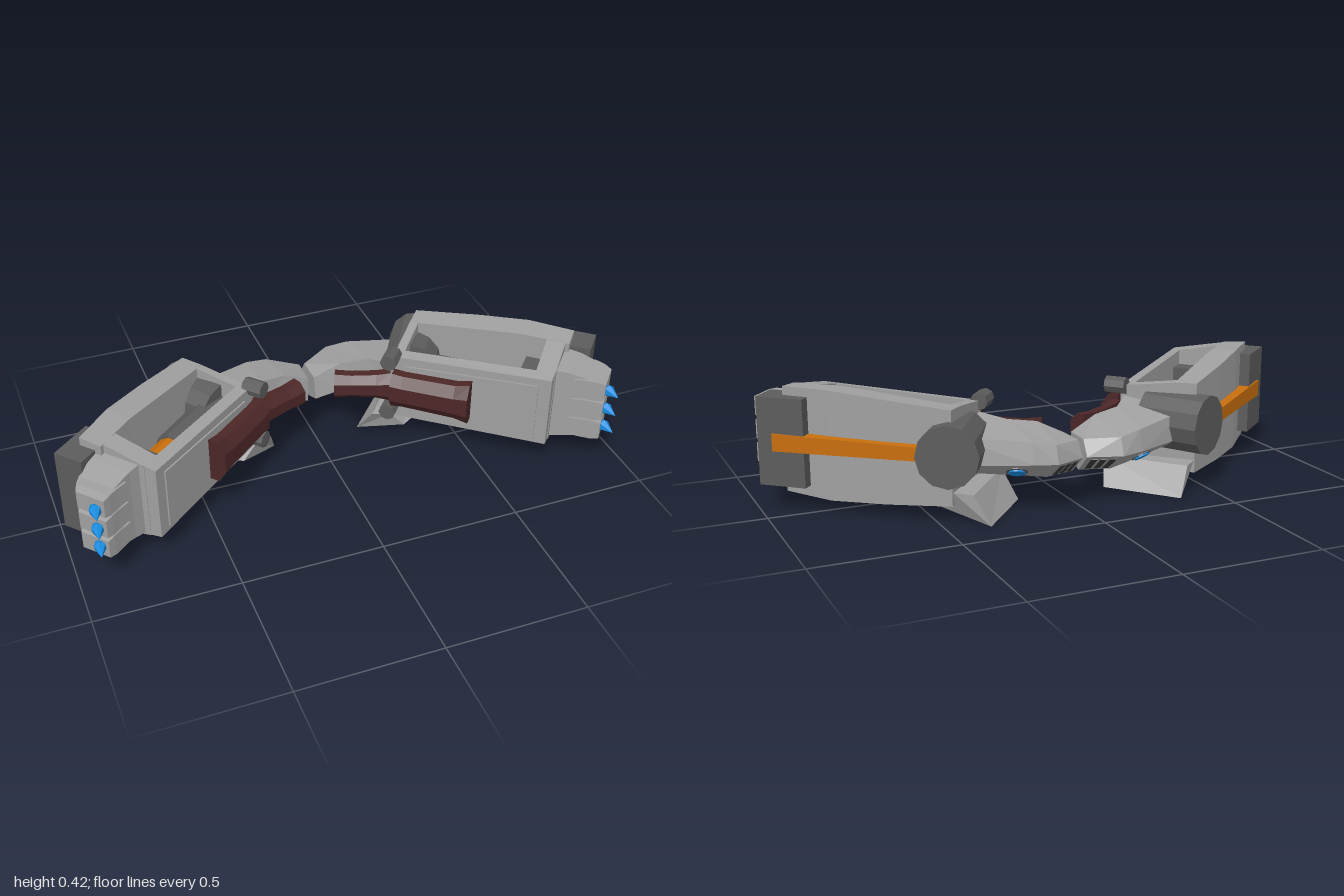
import * as THREE from 'three';

const mat = (name, color) => {
  const m = new THREE.MeshStandardMaterial({ color, flatShading: true });
  m.name = name;
  return m;
};
const V = (x, y, z) => new THREE.Vector3(x, y, z);
// Forearm frame: u runs to the hand, v runs outward and back
const P = (u, v, y) => V(0.757 * u + 0.654 * v, y, 0.654 * u - 0.757 * v);

// Closed solid through matching cross-sections
function loft(sections) {
  const n = sections[0].length, tris = [];
  for (let s = 0; s < sections.length - 1; s++) {
    for (let i = 0; i < n; i++) {
      const j = (i + 1) % n, a = sections[s], b = sections[s + 1];
      tris.push([a[i], a[j], b[j]], [a[i], b[j], b[i]]);
    }
  }
  const f = sections[0], l = sections[sections.length - 1];
  for (let i = 1; i < n - 1; i++) tris.push([f[0], f[i + 1], f[i]], [l[0], l[i], l[i + 1]]);
  // Turn the faces outward
  let volume = 0;
  for (const [a, b, c] of tris) volume += a.dot(b.clone().cross(c));
  const pts = tris.flatMap(([a, b, c]) => (volume < 0 ? [a, c, b] : [a, b, c]));
  const g = new THREE.BufferGeometry().setFromPoints(pts);
  g.computeVertexNormals();
  return g;
}

// Rectangle across v at one u; heights may differ at the two sides
const rect = (u, v0, v1, lo0, hi0, lo1 = lo0, hi1 = hi0) =>
  [P(u, v0, lo0), P(u, v1, lo1), P(u, v1, hi1), P(u, v0, hi0)];
const box = (u0, u1, v0, v1, y0, y1) => loft([rect(u0, v0, v1, y0, y1), rect(u1, v0, v1, y0, y1)]);

// Cylinder or cone from a to b
function rod(a, b, ra, rb, sides) {
  const d = b.clone().sub(a);
  const g = new THREE.CylinderGeometry(rb, ra, d.length(), sides);
  g.applyQuaternion(new THREE.Quaternion().setFromUnitVectors(V(0, 1, 0), d.clone().normalize()));
  const c = a.clone().add(b).multiplyScalar(0.5);
  return g.translate(c.x, c.y, c.z);
}

function mirrored(geometry) {
  const g = geometry.index ? geometry.toNonIndexed() : geometry.clone();
  const p = g.attributes.position, pts = [];
  for (let i = 0; i < p.count; i += 3) {
    for (const k of [0, 2, 1]) pts.push(V(-p.getX(i + k), p.getY(i + k), p.getZ(i + k)));
  }
  const out = new THREE.BufferGeometry().setFromPoints(pts);
  out.computeVertexNormals();
  return out;
}

export function createModel() {
  const light = mat('light grey', 0xa0a0a0);
  const dark = mat('dark grey', 0x5c5c5c);
  const orange = mat('orange', 0xc86e0c);
  const maroon = mat('maroon', 0x4c2727);
  const blue = mat('blue', 0x178ce0);
  const black = mat('charcoal', 0x3a3a3a);

  const model = new THREE.Group();
  model.name = 'armPair';
  const left = new THREE.Group(), right = new THREE.Group();
  left.name = 'leftArm';
  right.name = 'rightArm';
  model.add(left, right);
  const add = (name, g, m) => {
    const a = new THREE.Mesh(g, m), b = new THREE.Mesh(mirrored(g), m);
    a.name = b.name = name;
    left.add(a);
    right.add(b);
  };

  // Forearm: four walls around an opening
  add('outerWall', loft([
    rect(0.152, 0.44, 0.522, 0.064, 0.38, 0.06, 0.385),
    rect(0.384, 0.44, 0.535, 0.055, 0.402, 0.05, 0.407),
    rect(0.58, 0.44, 0.535, 0.05, 0.42, 0.045, 0.425),
    rect(0.75, 0.435, 0.52, 0.065, 0.418, 0.06, 0.425),
  ]), light);
  add('innerWall', loft([
    rect(0.152, 0.237, 0.28, 0.095, 0.352, 0.09, 0.357),
    rect(0.734, 0.237, 0.28, 0.105, 0.38, 0.097, 0.388),
  ]), light);
  add('elbowEndWall', loft([
    rect(0.152, 0.28, 0.442, 0.09, 0.357, 0.064, 0.38),
    rect(0.185, 0.28, 0.442, 0.09, 0.359, 0.064, 0.383),
  ]), light);
  add('handEndWall', loft([
    rect(0.668, 0.28, 0.442, 0.097, 0.385, 0.056, 0.419),
    rect(0.736, 0.28, 0.437, 0.097, 0.388, 0.064, 0.418),
  ]), light);
  add('innerPanel', loft([
    rect(0.2, 0.231, 0.238, 0.13, 0.322),
    rect(0.69, 0.231, 0.238, 0.122, 0.35),
  ]), light);

  // Piston inside the opening
  add('innerPlate', box(0.18, 0.67, 0.275, 0.445, 0.205, 0.23), dark);
  add('innerBlock', box(0.6, 0.67, 0.275, 0.445, 0.12, 0.33), dark);
  add('pistonBody', rod(P(0.18, 0.362, 0.235), P(0.475, 0.362, 0.235), 0.068, 0.068, 10), dark);
  add('pistonCore', rod(P(0.475, 0.357, 0.235), P(0.605, 0.357, 0.235), 0.062, 0.062, 10), orange);

  // Outer plate and strip
  add('outerPlate', box(0.657, 0.825, 0.46, 0.567, 0.09, 0.395), dark);
  add('outerStrip', loft([
    rect(0.23, 0.52, 0.566, 0.218, 0.264),
    rect(0.77, 0.52, 0.574, 0.212, 0.272),
  ]), orange);

  // Elbow disc and hinge pins
  add('elbowDisc', rod(V(0.365, 0.24, -0.135), V(0.488, 0.24, -0.334), 0.107, 0.107, 12), dark);
  for (const y of [0.137, 0.352]) {
    add('hingePin', rod(P(0.15, 0.185, y), P(0.15, 0.26, y), 0.031, 0.031, 8), dark);
  }

  // Wedge-shaped spur under the elbow
  add('elbowSpur', loft([
    [P(0.02, 0.23, 0.006), P(0.1, 0.27, 0.004), P(0.2, 0.25, 0.05), P(0.15, 0.23, 0.1), P(0.09, 0.2, 0.105)],
    [P(0.02, 0.52, 0.004), P(0.1, 0.46, 0.004), P(0.26, 0.46, 0.047), P(0.15, 0.52, 0.107), P(0.08, 0.52, 0.105)],
  ]), light);

  // Hand: knuckle block, three fingers, three claws
  add('knuckleBlock', loft([
    rect(0.73, 0.3, 0.475, 0.1, 0.385),
    rect(0.775, 0.31, 0.465, 0.105, 0.378),
    rect(0.86, 0.318, 0.445, 0.122, 0.36),
  ]), light);
  for (const [y, claw] of [[0.157, 0.165], [0.24, 0.24], [0.323, 0.317]]) {
    add('finger', loft([
      rect(0.8, 0.305, 0.458, y - 0.036, y + 0.036),
      rect(0.85, 0.308, 0.453, y - 0.039, y + 0.039),
      rect(0.885, 0.309, 0.437, y - 0.039, y + 0.039),
      rect(0.912, 0.312, 0.42, y - 0.033, y + 0.033),
    ]), light);
    add('clawBase', rod(V(0.92, claw, 0.315), V(0.92, claw, 0.343), 0.011, 0.022, 6), blue);
    add('clawTip', rod(V(0.92, claw, 0.343), V(0.927, claw, 0.397), 0.022, 0, 6), blue);
  }

  // Upper arm, from the centre out to the elbow
  const arm = [
    [V(0.008, 0.185, -0.345), V(0.01, 0.24, -0.31), V(0.012, 0.24, -0.21), V(0.015, 0.15, -0.2), V(0.012, 0.12, -0.27)],
    [V(0.12, 0.188, -0.395), V(0.12, 0.25, -0.375), V(0.11, 0.288, -0.195), V(0.11, 0.18, -0.18), V(0.12, 0.12, -0.3)],
    [V(0.2, 0.19, -0.375), V(0.2, 0.265, -0.36), V(0.21, 0.3, -0.17), V(0.21, 0.185, -0.16), V(0.2, 0.13, -0.28)],
    [P(0.155, 0.49, 0.19), P(0.155, 0.48, 0.285), P(0.155, 0.25, 0.315), P(0.155, 0.25, 0.18), P(0.155, 0.4, 0.14)],
  ];
  add('upperArm', loft(arm), light);

  // Slots and round stud on the arm's lower back face
  const spot = (s, t, w) => arm[s][0].clone().lerp(arm[s + 1][0], t)
    .lerp(arm[s][4].clone().lerp(arm[s + 1][4], t), w);
  const normal = (s) => {
    const n = arm[s + 1][0].clone().sub(arm[s][0]).cross(arm[s][4].clone().sub(arm[s][0])).normalize();
    return n.y > 0 ? n.negate() : n;
  };
  const n0 = normal(0).multiplyScalar(0.004);
  for (const t of [0.15, 0.42, 0.69]) {
    const q = [[t, 0.15], [t + 0.17, 0.15], [t + 0.17, 0.85], [t, 0.85]].map(([a, b]) => spot(0, a, b));
    add('armSlot', loft([q.map((p) => p.clone().sub(n0)), q.map((p) => p.clone().add(n0))]), black);
  }
  const n2 = normal(2), c = spot(2, 0.16, 0.55);
  add('studRim', rod(c.clone().addScaledVector(n2, -0.02), c.clone().addScaledVector(n2, 0.005), 0.037, 0.037, 12), dark);
  add('stud', rod(c, c.clone().addScaledVector(n2, 0.01), 0.028, 0.028, 12), blue);

  // Front guards: chamfered strips, slightly waisted in the middle
  const guard = (a, b, front, depth, heights) => loft(heights.map(([t, h, push]) => {
    const m = a.clone().lerp(b, t);
    return [[0, -1], [0.55, -1], [1, -0.45], [1, 0.45], [0.55, 1], [0, 1]].map(([d, k]) =>
      m.clone().addScaledVector(front, d * depth + push).add(V(0, k * h, 0)));
  }));
  add('forearmGuard', guard(P(0.165, 0.222, 0.242), P(0.455, 0.222, 0.244), P(0, -1, 0), 0.064,
    [[0, 0.07, 0], [0.15, 0.066, 0], [0.82, 0.07, 0], [1, 0.082, 0]]), maroon);
  add('upperArmGuard', guard(V(0.08, 0.232, -0.17), V(0.265, 0.238, -0.087), V(-0.4, 0, 0.91), 0.06,
    [[0, 0.052, 0], [0.3, 0.046, -0.002], [0.75, 0.05, -0.002], [1, 0.06, 0]]), maroon);

  return model;
}
